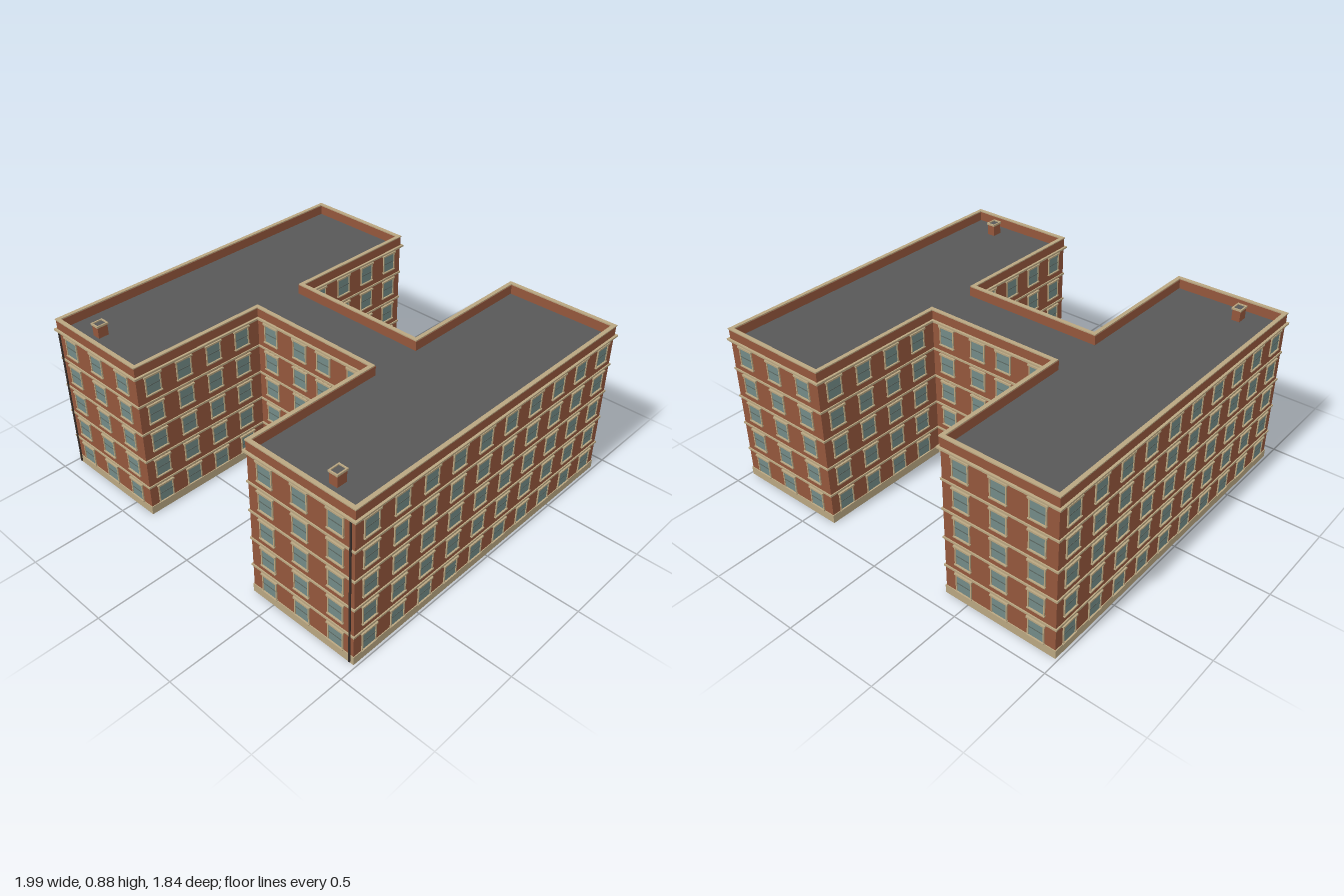
import * as THREE from 'three';
import { mergeGeometries } from 'three/addons/utils/BufferGeometryUtils.js';

const mat = (name, color) => {
  const m = new THREE.MeshStandardMaterial({ color });
  m.name = name;
  return m;
};

// Wall planes of the H-shaped plan
const SIDE = 0.983, END = 0.907, COURT = 0.373, LINK = 0.158;

export function createModel() {
  const group = new THREE.Group();
  const brick = mat('brick', 0x93563c);
  const stone = mat('stone', 0xb9a681);
  const roofing = mat('roofing', 0x585858);
  const glass = mat('glass', 0x728a86);
  const sash = mat('sash', 0x59655f);
  const wood = mat('door wood', 0x754434);
  const iron = mat('pipe iron', 0x3a302b);

  const add = (name, geometry, material) => {
    const m = new THREE.Mesh(geometry, material);
    m.name = name;
    group.add(m);
    return m;
  };
  const box = (w, h, d, x, y, z) => new THREE.BoxGeometry(w, h, d).translate(x, y, z);

  // H outline, grown outwards by o
  const outline = (o) => {
    const s = SIDE + o, e = END + o, c = COURT - o, l = LINK + o;
    return [[s, e], [c, e], [c, l], [-c, l], [-c, e], [-s, e],
      [-s, -e], [-c, -e], [-c, -l], [c, -l], [c, -e], [s, -e]]
      .map(([x, y]) => new THREE.Vector2(x, y));
  };
  // Extruded H from y0 to y1; a ring when an inner offset is given
  const slab = (o, y0, y1, inner) => {
    const shape = new THREE.Shape(outline(o));
    if (inner !== undefined) shape.holes.push(new THREE.Path(outline(inner)));
    return new THREE.ExtrudeGeometry(shape, { depth: y1 - y0, bevelEnabled: false })
      .rotateX(-Math.PI / 2).translate(0, y0, 0);
  };

  // Body, from the plinth up to the coping
  add('plinth', slab(0.004, 0, 0.045), stone);
  add('walls', slab(0, 0.045, 0.808), brick);
  add('roof', slab(-0.01, 0.808, 0.812), roofing);
  add('parapet', slab(0.002, 0.808, 0.861, -0.018), brick);
  add('coping', slab(0.005, 0.861, 0.867, -0.016), stone);
  for (let k = 1; k < 5; k++) {
    add('stringCourse' + k, slab(0.006, k * 0.16, k * 0.16 + 0.01, -0.004), stone);
  }
  add('corniceLower', slab(0.008, 0.797, 0.803, -0.004), stone);
  add('corniceUpper', slab(0.014, 0.803, 0.812, -0.004), stone);

  // Facades: direction, distance of the wall plane, window positions along it
  const pair = (list) => list.flatMap((u) => [-u, u]);
  const zs = [0.815, 0.634, 0.453, 0.272, 0.09];
  const facades = [];
  for (const ry of [0, Math.PI]) {
    facades.push({ ry, dist: END, us: pair([0.88, 0.68, 0.478]) });
    facades.push({ ry, dist: LINK, us: pair([0.28, 0.08]), link: true });
  }
  for (const ry of [Math.PI / 2, -Math.PI / 2]) {
    facades.push({ ry, dist: SIDE, us: pair(zs) });
    facades.push({ ry, dist: -COURT, us: pair(zs.slice(0, 4)) });
  }

  // Windows, gathered part by part
  const parts = { glass: [], bars: [], frames: [], ledges: [] };
  for (const { ry, dist, us, link } of facades) {
    for (const u of us) {
      for (let k = 0; k < 5; k++) {
        // the wide rear door takes the place of two windows
        if (link && ry > 0 && k === 0 && Math.abs(u) < 0.1) continue;
        const y = k * 0.16 + 0.097;
        const put = (list, w, h, d, dx, dy) =>
          list.push(box(w, h, d, u + dx, y + dy, dist + d / 2).rotateY(ry));
        put(parts.glass, 0.08, 0.096, 0.002, 0, 0);
        put(parts.bars, 0.08, 0.004, 0.004, 0, 0);
        for (const s of [-1, 1]) put(parts.frames, 0.006, 0.098, 0.006, s * 0.042, 0);
        put(parts.ledges, 0.1, 0.009, 0.01, 0, 0.052);
        put(parts.ledges, 0.094, 0.006, 0.01, 0, -0.05);
      }
    }
  }
  add('windowPanes', mergeGeometries(parts.glass), glass);
  add('windowBars', mergeGeometries(parts.bars), sash);
  add('windowJambs', mergeGeometries(parts.frames), stone);
  add('windowLintelsAndSills', mergeGeometries(parts.ledges), stone);

  // Front door with a small light
  add('frontDoor', box(0.072, 0.145, 0.012, 0, 0.0725, LINK + 0.006), wood);
  add('frontDoorLight', box(0.02, 0.035, 0.002, 0.012, 0.105, LINK + 0.013), glass);

  // Rear double door with surround and canopy
  const back = -LINK;
  add('rearDoorSurround', box(0.15, 0.14, 0.01, 0, 0.07, back - 0.005), brick);
  for (const s of [-1, 1]) {
    add('rearDoorLeaf', box(0.058, 0.122, 0.004, s * 0.031, 0.062, back - 0.011), wood);
    add('rearDoorLight', box(0.03, 0.045, 0.002, s * 0.031, 0.09, back - 0.0135), glass);
    add('rearDoorPost', box(0.014, 0.14, 0.014, s * 0.076, 0.07, back - 0.007), wood);
  }
  add('rearCanopy', box(0.19, 0.012, 0.022, 0, 0.146, back - 0.011), wood);

  for (const s of [-1, 1]) {
    // Downpipe at the outer front corner
    add('downpipe', new THREE.CylinderGeometry(0.005, 0.005, 0.79, 8)
      .translate(s * 0.966, 0.405, END + 0.008), iron);

    // Chimney: brick stack, stone rim, dark opening
    const x = s * 0.785, z = 0.795;
    add('chimneyStack', box(0.044, 0.06, 0.056, x, 0.84, z), brick);
    for (const t of [-1, 1]) {
      add('chimneyRim', box(0.052, 0.01, 0.007, x, 0.875, z + t * 0.0285), stone);
      add('chimneyRim', box(0.007, 0.01, 0.05, x + t * 0.0225, 0.875, z), stone);
    }
    add('chimneyOpening', box(0.038, 0.004, 0.05, x, 0.872, z), roofing);
  }
  return group;
}
